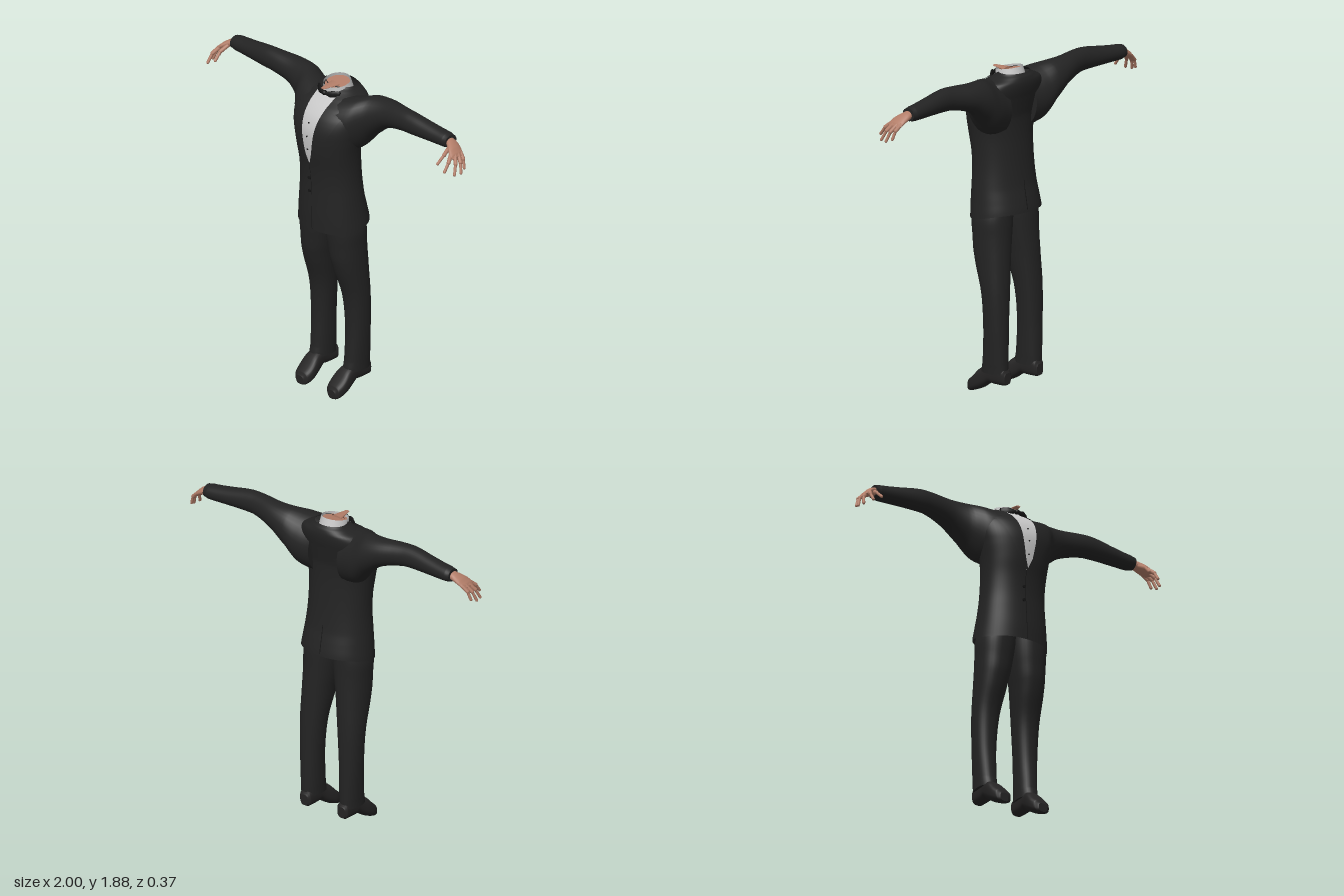
import * as THREE from 'three';

const mat = (name, color, side = THREE.FrontSide) => {
  const m = new THREE.MeshStandardMaterial({ color, side });
  m.name = name;
  return m;
};

// Catmull-Rom refinement of rows of numbers
function refine(rows, k = 5) {
  const out = [], n = rows.length - 1;
  for (let i = 0; i < n; i++) {
    const a = rows[Math.max(i - 1, 0)], b = rows[i], c = rows[i + 1], d = rows[Math.min(i + 2, n)];
    for (let j = 0; j < k; j++) {
      const t = j / k;
      out.push(b.map((_, q) => j === 0 ? b[q] : b[q] + 0.5 * t * (c[q] - a[q] +
        t * (2 * a[q] - 5 * b[q] + 4 * c[q] - d[q] + t * (3 * (b[q] - c[q]) + d[q] - a[q])))));
    }
  }
  out.push(rows[n]);
  // keep the stations evenly placed along the axis
  out.forEach((r, i) => {
    const s = Math.min(Math.floor(i / k), n - 1), t = (i - s * k) / k;
    r[0] = rows[s][0] + (rows[s + 1][0] - rows[s][0]) * t;
  });
  return out;
}

// Oval cross-sections along an axis; row = [station, a0, a1, b0, b1], a and b being the other axes in order
function loft(rows, axis, { s = 1, n = 28, p = 2, caps = true, k = 5 } = {}) {
  const secs = refine(rows, k), pos = [], idx = [];
  const flip = (axis === 'y') !== (s < 0);
  const tri = (a, b, c) => flip ? idx.push(a, c, b) : idx.push(a, b, c);
  const put = (t, a, b) => {
    const v = axis === 'x' ? [t, a, b] : axis === 'y' ? [a, t, b] : [a, b, t];
    pos.push(v[0] * s, v[1], v[2]);
  };
  const pw = (v) => Math.sign(v) * Math.abs(v) ** (2 / p);
  const ring = ([t, a0, a1, b0, b1]) => {
    for (let j = 0; j < n; j++) {
      const w = (j / n) * Math.PI * 2;
      put(t, (a0 + a1) / 2 + (a1 - a0) / 2 * pw(Math.cos(w)), (b0 + b1) / 2 + (b1 - b0) / 2 * pw(Math.sin(w)));
    }
  };
  secs.forEach(ring);
  for (let i = 0; i < secs.length - 1; i++) for (let j = 0; j < n; j++) {
    const a = i * n + j, b = i * n + (j + 1) % n;
    tri(a, b, a + n);
    tri(b, b + n, a + n);
  }
  if (caps) [secs[0], secs[secs.length - 1]].forEach((r, e) => {
    const base = pos.length / 3;
    ring(r);
    put(r[0], (r[1] + r[2]) / 2, (r[3] + r[4]) / 2);
    for (let j = 0; j < n; j++) {
      const a = base + j, b = base + (j + 1) % n;
      e ? tri(a, b, base + n) : tri(b, a, base + n);
    }
  });
  return build(pos, idx);
}

function build(pos, idx) {
  const g = new THREE.BufferGeometry();
  g.setAttribute('position', new THREE.Float32BufferAttribute(pos, 3));
  g.setIndex(idx);
  g.computeVertexNormals();
  return g;
}

// Jacket body: [y, half width, back z, front z]
const BODY = [
  [1.015, .218, -.18, .155], [1.1, .21, -.168, .156], [1.2, .2, -.15, .153], [1.3, .191, -.138, .152],
  [1.4, .19, -.13, .16], [1.5, .198, -.125, .177], [1.6, .215, -.127, .184], [1.66, .228, -.14, .176],
  [1.72, .235, -.155, .15], [1.77, .225, -.168, .108], [1.81, .185, -.172, .055], [1.84, .12, -.165, .02],
  [1.858, .095, -.148, 0],
].map(([y, w, b, f]) => [y, -w, w, b, f]);
const BODY_FINE = refine(BODY.map((r) => [...r]));
const P = 2.15;

// Depth of the jacket surface at (x, y), front (+1) or back (-1)
function surface(x, y, dir = 1) {
  let i = BODY_FINE.findIndex((r) => r[0] > y);
  i = i < 1 ? (i === 0 ? 1 : BODY_FINE.length - 1) : i;
  const a = BODY_FINE[i - 1], b = BODY_FINE[i], t = THREE.MathUtils.clamp((y - a[0]) / (b[0] - a[0]), 0, 1);
  const [, , w, z0, z1] = a.map((v, q) => v + (b[q] - v) * t);
  const f = (1 - Math.min(Math.abs(x / w), 1) ** P) ** (1 / P);
  return (z0 + z1) / 2 + dir * (z1 - z0) / 2 * f;
}

// Thin cloth panel lying on the jacket; rows = [y, x0, x1] from bottom to top
function panel(rows, offset, dir = 1, cols = 8) {
  const pos = [], idx = [], fine = [];
  for (let i = 0; i < rows.length - 1; i++) for (let j = 0; j < 6; j++)
    fine.push(rows[i].map((v, q) => v + (rows[i + 1][q] - v) * j / 6));
  fine.push(rows[rows.length - 1]);
  fine.forEach(([y, x0, x1], i) => {
    for (let c = 0; c <= cols; c++) {
      const x = x0 + (x1 - x0) * c / cols;
      pos.push(x, y, surface(x, y, dir) + dir * offset);
      if (i && c) {
        const d = i * (cols + 1) + c, e = d - cols - 1;
        dir > 0 ? idx.push(e - 1, e, d - 1, e, d, d - 1) : idx.push(e - 1, d - 1, e, e, d - 1, d);
      }
    }
  });
  return build(pos, idx);
}

export function createModel() {
  const model = new THREE.Group();
  const suit = mat('suit black', 0x232323, THREE.DoubleSide);
  const trim = mat('trim black', 0x151515, THREE.DoubleSide);
  const shoeMat = mat('shoe black', 0x252424);
  const shirt = mat('shirt grey white', 0xc6c6c6, THREE.DoubleSide);
  const skin = mat('skin', 0xb27d68);
  const add = (name, geo, m, parent = model) => {
    const mesh = new THREE.Mesh(geo, m);
    mesh.name = name;
    parent.add(mesh);
    return mesh;
  };

  // Jacket body, with the hem rising towards the back
  const body = loft(BODY, 'y', { n: 56, p: P, caps: false });
  const bp = body.attributes.position;
  for (let i = 0; i < bp.count; i++) {
    const y = bp.getY(i), low = Math.max(0, (1.2 - y) / 0.185);
    bp.setY(i, y + low * 0.045 * THREE.MathUtils.smoothstep(-bp.getZ(i), -0.1, 0.18));
  }
  body.computeVertexNormals();
  add('jacketBody', body, suit);
  add('backVent', panel([[1.075, -.003, .003], [1.24, -.002, .002]], .006, -1, 1), trim);
  add('frontSeam', panel([[1.02, .002, .006], [1.43, -.012, -.009]], .004, 1, 1), trim);

  // Shirt front and studs
  add('shirtFront', panel([[1.43, -.012, -.004], [1.5, -.03, .024], [1.6, -.046, .042], [1.7, -.06, .056],
    [1.79, -.072, .07], [1.83, -.074, .074]], .005), shirt);
  const disc = (name, x, y, r, m) => {
    const d = add(name, new THREE.CylinderGeometry(r, r, .006, 14), m);
    d.rotation.x = Math.PI / 2;
    d.position.set(x, y, surface(x, y) + .007);
  };
  [1.52, 1.6, 1.68].forEach((y) => disc('shirtStud', -.004, y, .004, trim));
  [1.33, 1.25].forEach((y) => disc('jacketButton', -.018, y, .009, trim));

  // Neck stump, throat and shirt collar
  const neck = new THREE.Group();
  neck.name = 'neck';
  neck.position.set(0, 1.83, -.045);
  neck.rotation.x = .17;
  model.add(neck);
  add('neckStump', new THREE.CylinderGeometry(.07, .07, .06, 32), skin, neck);
  add('shirtCollar', new THREE.CylinderGeometry(.077, .09, .085, 32, 1, true), shirt, neck);
  const throat = add('throat', new THREE.CylinderGeometry(.013, .034, .1, 12), skin);
  throat.scale.z = .3;
  throat.rotation.x = Math.PI / 2;
  throat.position.set(0, 1.858, .025);

  for (const s of [1, -1]) {
    const side = new THREE.Group();
    side.name = s > 0 ? 'leftSide' : 'rightSide';
    model.add(side);

    // Lapel in two pieces with a notch between them
    const mirror = (rows) => s > 0 ? rows : rows.map(([y, a, b]) => [y, -b, -a]);
    add('lapel', panel(mirror([[1.42, -.002, .006], [1.5, .024, .066], [1.6, .042, .118], [1.68, .053, .155],
      [1.735, .062, .176], [1.75, .064, .13]]), .01), suit, side);
    add('collarLapel', panel(mirror([[1.75, .064, .13], [1.765, .066, .15], [1.8, .071, .128], [1.835, .074, .1]]), .01), suit, side);

    // Bow tie wing
    add('bowTieWing', loft([[0, 1.82, 1.836, .05, .068], [.02, 1.814, 1.84, .045, .066], [.055, 1.802, 1.85, .03, .054],
      [.085, 1.81, 1.846, .012, .03]], 'x', { s, n: 16 }), trim, side);

    // Sleeve
    add('sleeve', loft([[.1, 1.5, 1.82, -.155, .135], [.2, 1.53, 1.84, -.172, .095], [.27, 1.615, 1.857, -.176, .025],
      [.37, 1.695, 1.862, -.163, -.008], [.5, 1.732, 1.868, -.13, -.01], [.58, 1.738, 1.866, -.122, -.012],
      [.72, 1.742, 1.845, -.128, -.025], [.83, 1.744, 1.831, -.132, -.035], [.86, 1.75, 1.824, -.126, -.04]], 'x', { s, n: 32 }), suit, side);

    // Hand
    const hand = new THREE.Group();
    hand.name = 'hand';
    side.add(hand);
    add('palm', loft([[.84, 1.762, 1.812, -.108, -.056], [.88, 1.752, 1.8, -.112, -.038], [.915, 1.734, 1.778, -.108, -.014],
      [.94, 1.72, 1.754, -.1, -.006], [.952, 1.718, 1.738, -.088, -.018]], 'x', { s, n: 20 }), skin, hand);
    const bone = (name, a, b, r) => {
      const d = b.clone().sub(a), m = add(name, new THREE.CapsuleGeometry(r, d.length(), 4, 10), skin, hand);
      m.position.copy(a).addScaledVector(d, .5);
      m.quaternion.setFromUnitVectors(new THREE.Vector3(0, 1, 0), d.normalize());
    };
    [['thumb', .882, 1.765, -.045, .888, 1.7, .045], ['indexFinger', .925, 1.745, -.02, .945, 1.67, .047],
      ['middleFinger', .935, 1.742, -.042, .982, 1.652, .006], ['ringFinger', .935, 1.742, -.068, .99, 1.652, -.036],
      ['littleFinger', .928, 1.745, -.09, .978, 1.667, -.073]].forEach(([name, x0, y0, z0, x1, y1, z1]) => {
      const a = new THREE.Vector3(x0 * s, y0, z0), b = new THREE.Vector3(x1 * s, y1, z1);
      const mid = a.clone().lerp(b, .5).add(new THREE.Vector3(.008 * s, .008, 0));
      bone(name, a, mid, .0115);
      bone(name, mid, b, .0085);
    });

    // Trouser leg
    add('trouserLeg', loft([[.14, .078, .19, -.142, .03], [.2, .077, .192, -.142, .018], [.4, .072, .2, -.14, .007],
      [.6, .056, .206, -.138, .022], [.8, .028, .208, -.13, .083], [.92, .008, .208, -.125, .102],
      [1.02, -.004, .208, -.124, .112], [1.12, -.004, .185, -.12, .115]], 'y', { s, n: 32, p: 2.2 }), suit, side);

    // Shoe, heel high and toe down
    add('shoe', loft([[-.15, .105, .155, .085, .15], [-.138, .092, .168, .078, .17], [-.06, .09, .172, .075, .185],
      [-.03, .088, .174, .078, .18], [0, .083, .178, .056, .17], [.04, .073, .184, .03, .148], [.08, .068, .185, .013, .108],
      [.115, .078, .175, .002, .078], [.128, .1, .155, .004, .055]], 'z', { s, n: 28, p: 2.8 }), shoeMat, side);
  }

  // Bow tie knot
  const knot = add('bowTieKnot', new THREE.SphereGeometry(.015, 16, 12), trim);
  knot.position.set(0, 1.828, .06);
  return model;
}
